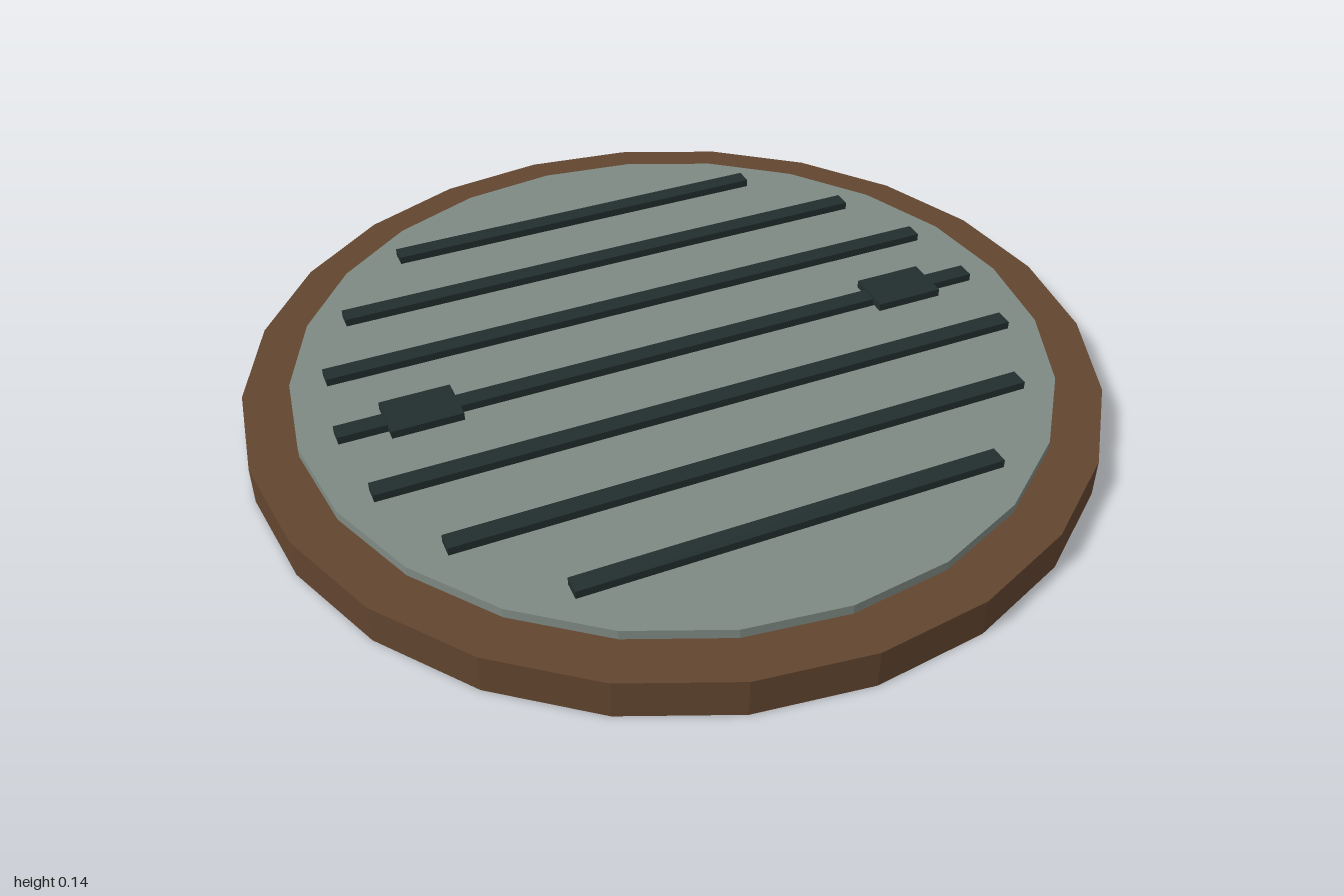
import * as THREE from 'three';

export function createModel() {
  const group = new THREE.Group();
  group.name = 'roundGrate';
  const material = (name, color) => {
    const m = new THREE.MeshStandardMaterial({ color, flatShading: true });
    m.name = name;
    return m;
  };
  const wood = material('brown wood', 0x62452f);
  const stone = material('grey plate', 0x7f8a83);
  const iron = material('dark iron', 0x222e2f);

  const add = (name, geometry, mat, x, y, z) => {
    const mesh = new THREE.Mesh(geometry, mat);
    mesh.name = name;
    mesh.position.set(x, y, z);
    group.add(mesh);
  };
  // 24-sided disc between two heights
  const disc = (name, radius, bottom, top, mat) =>
    add(name, new THREE.CylinderGeometry(radius, radius, top - bottom, 24), mat, 0, (bottom + top) / 2, 0);
  // box between two heights
  const slab = (name, width, depth, bottom, top, x, z) =>
    add(name, new THREE.BoxGeometry(width, top - bottom, depth), iron, x, (bottom + top) / 2, z);

  // Wooden base and the raised plate on it
  disc('base', 1, 0, 0.093, wood);
  disc('plate', 0.89, 0.08, 0.116, stone);

  // Parallel bars, shorter towards the rim
  const halfLengths = [0.805, 0.78, 0.683, 0.49];
  for (let i = -3; i <= 3; i++) {
    slab('bar', halfLengths[Math.abs(i)] * 2, 0.043, 0.112, 0.135, 0, i * 0.213);
  }

  // Square clasps over the middle bar
  for (const side of [-1, 1]) slab('clasp', 0.166, 0.112, 0.122, 0.141, side * 0.61, 0);

  return group;
}
